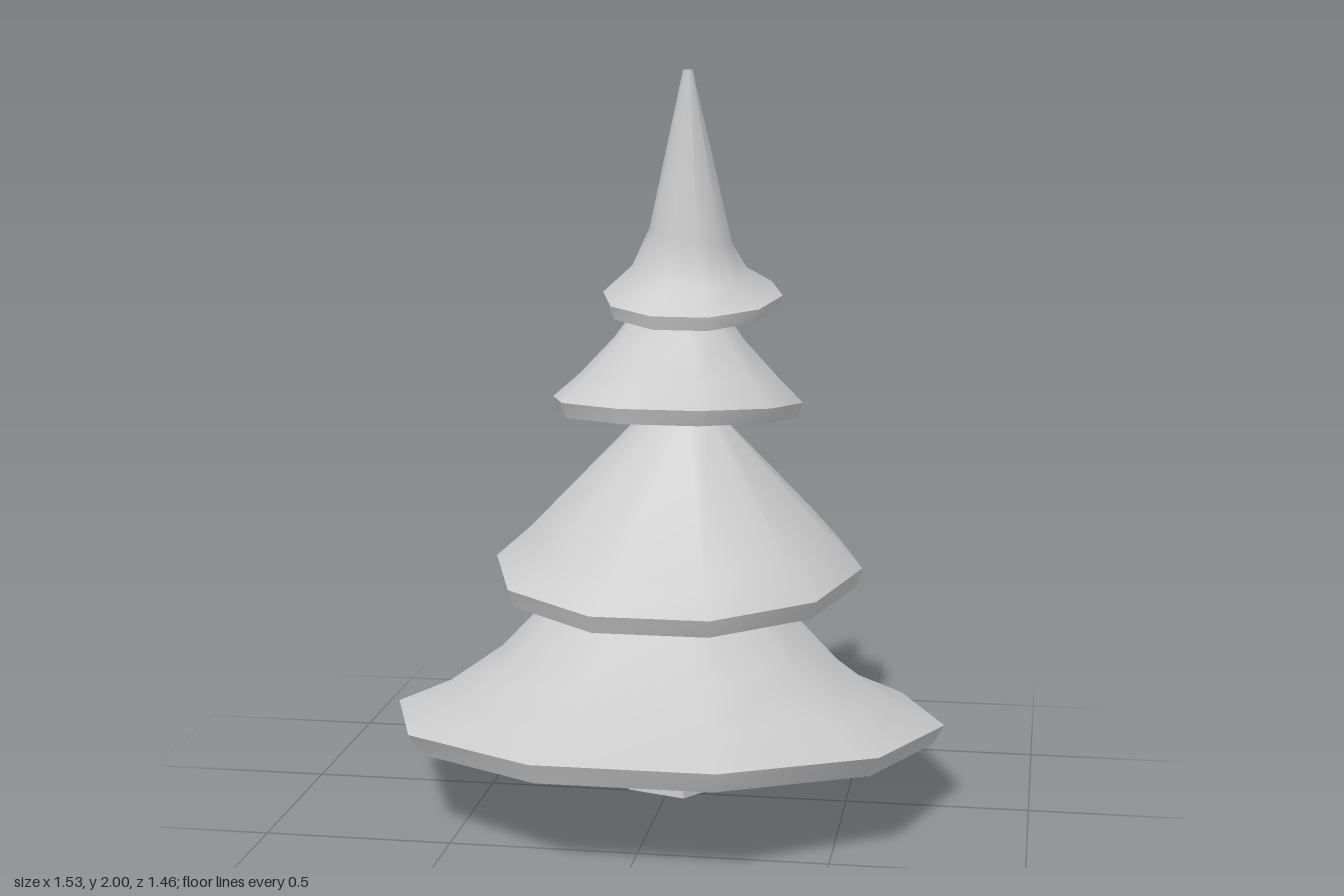
import * as THREE from 'three';

const material = new THREE.MeshStandardMaterial({ color: 0xcccccc, side: THREE.DoubleSide });
const flatMaterial = new THREE.MeshStandardMaterial({ color: 0xcccccc, flatShading: true });

// Skin a stack of polygon rings; ring = [x, y, z, radius, slope along z, slope along x]
function loft(rings, sides) {
  const positions = [], index = [];
  rings.forEach(([cx, cy, cz, r, kz = 0, kx = 0], j) => {
    for (let i = 0; i < sides; i++) {
      const a = (i / sides) * Math.PI * 2;
      const dx = r * Math.cos(a), dz = -r * Math.sin(a);
      positions.push(cx + dx, cy + kz * dz + kx * dx, cz + dz);
      if (j === 0) continue;
      const n = (i + 1) % sides, lo = (j - 1) * sides, hi = j * sides;
      index.push(lo + i, lo + n, hi + n, lo + i, hi + n, hi + i);
    }
  });
  const geometry = new THREE.BufferGeometry();
  geometry.setAttribute('position', new THREE.Float32BufferAttribute(positions, 3));
  geometry.setIndex(index);
  geometry.computeVertexNormals();
  return geometry;
}

function addMesh(parent, name, geometry, mat = material) {
  const mesh = new THREE.Mesh(geometry, mat);
  mesh.name = name;
  parent.add(mesh);
}

// Each tier: bottom edge of the rim, inner end of the underside, and rings from rim to top
const tiers = [
  {
    name: 'lowestBranches',
    lip: [0, 0.179, 0.005, 0.738, 0.097],
    inner: [0.01, 0.4, -0.07, 0.15, 0.09],
    rings: [
      [0, 0.231, 0, 0.767, 0.097], [0, 0.295, -0.01, 0.618, 0.107],
      [0, 0.4, -0.017, 0.47, 0.107], [0, 0.575, 0, 0.305, 0.07],
      [0.01, 0.79, -0.04, 0.1, 0.05],
    ],
  },
  {
    name: 'lowerMiddleBranches',
    lip: [0.014, 0.589, -0.1, 0.5, -0.075],
    inner: [0.015, 0.82, -0.09, 0.13, -0.08],
    rings: [
      [0.014, 0.64, -0.095, 0.515, -0.077], [0.019, 0.732, -0.077, 0.417, -0.14],
      [0.022, 1.06, -0.11, 0.105, -0.03], [0.022, 1.1, -0.11, 0.07, -0.02],
    ],
  },
  {
    name: 'upperMiddleBranches',
    lip: [0.012, 1.057, -0.097, 0.333, 0.08],
    inner: [0.015, 1.22, -0.1, 0.07, 0.08],
    rings: [
      [0.012, 1.098, -0.097, 0.348, 0.083], [0.016, 1.166, -0.1, 0.275, 0.09],
      [0.017, 1.268, -0.1, 0.18, 0.15], [0.02, 1.36, -0.09, 0.115, 0.1],
      [0.03, 1.47, -0.085, 0.045],
    ],
  },
  {
    name: 'topBranches',
    lip: [0.054, 1.357, -0.097, 0.237, -0.155],
    inner: [0.05, 1.48, -0.08, 0.045, -0.14],
    rings: [
      [0.054, 1.392, -0.098, 0.248, -0.14], [0.055, 1.455, -0.083, 0.165, -0.16, -0.08],
      [0.053, 1.555, -0.07, 0.113, -0.07, -0.16], [0.054, 2, -0.006, 0.013],
      [0.054, 2, -0.006, 0],
    ],
  },
];

export function createModel() {
  const model = new THREE.Group();
  model.name = 'pineTree';

  // Five-sided tapering trunk, closed at the foot and the top
  addMesh(model, 'trunk', loft([
    [0.008, 0, -0.091, 0], [0.008, 0, -0.091, 0.147], [0.01, 0.25, -0.085, 0.136],
    [0.012, 0.72, -0.07, 0.1], [0.018, 1.1, -0.1, 0.06],
    [0.04, 1.5, -0.08, 0.035], [0.04, 1.5, -0.08, 0],
  ], 5), flatMaterial);

  // Ten-sided branch tiers, each a smooth skirt with a sharp rim and hollow underside
  for (const { name, lip, inner, rings } of tiers) {
    const tier = new THREE.Group();
    tier.name = name;
    addMesh(tier, 'skirt', loft(rings, 10));
    addMesh(tier, 'rim', loft([lip, rings[0]], 10));
    addMesh(tier, 'underside', loft([inner, lip], 10));
    model.add(tier);
  }
  return model;
}
